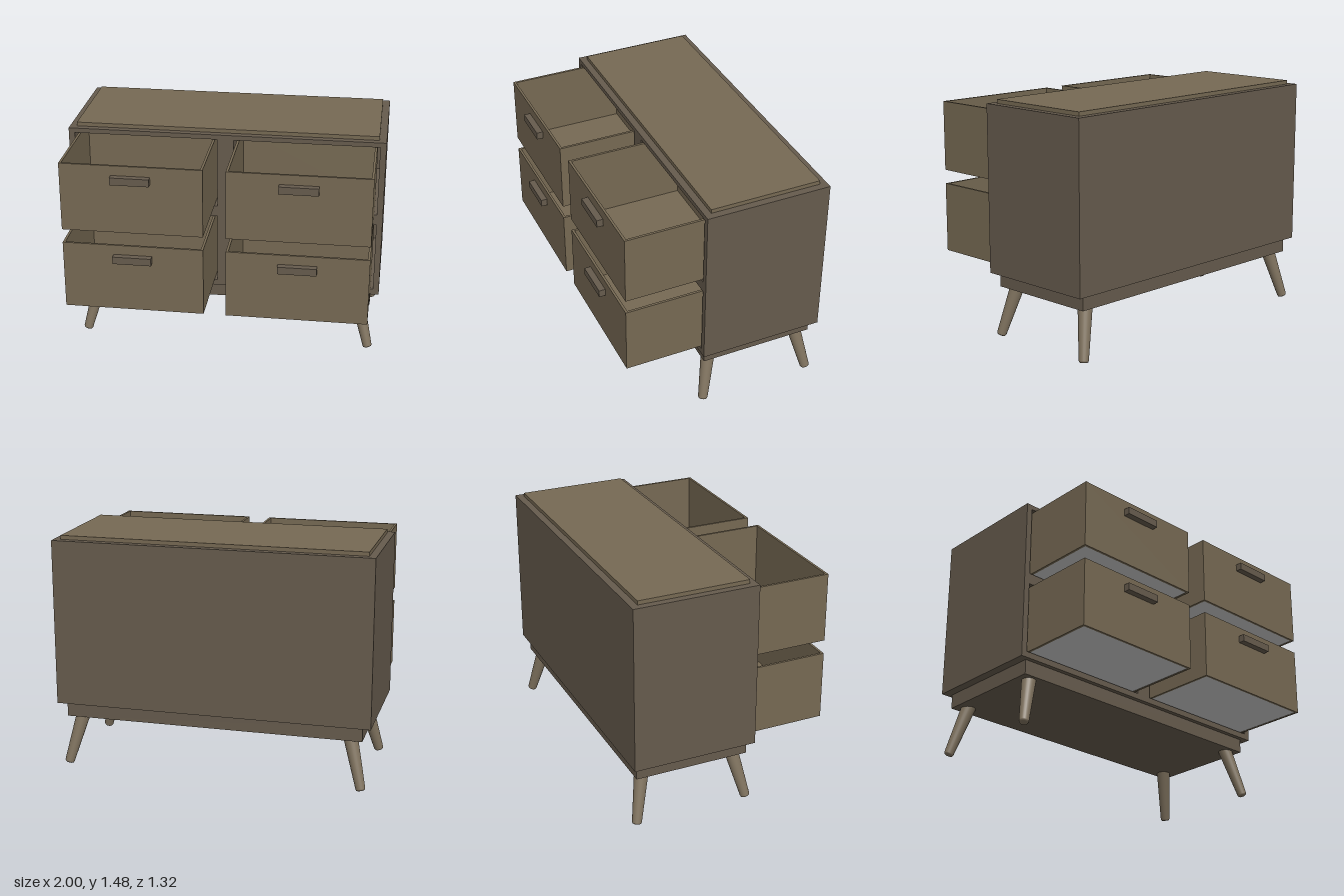
import * as THREE from 'three';

const wood = (color) => new THREE.MeshStandardMaterial({ color });
const caseWood = wood(0x665b4d);
const panelWood = wood(0x766953);
const legWood = wood(0x80735f);
const grey = wood(0xcccccc);

function add(parent, name, geometry, material) {
  const mesh = new THREE.Mesh(geometry, material);
  mesh.name = name;
  parent.add(mesh);
  return mesh;
}

// Box given by its lower and upper corners
function box(parent, name, [x0, y0, z0], [x1, y1, z1], material) {
  const mesh = add(parent, name, new THREE.BoxGeometry(x1 - x0, y1 - y0, z1 - z0), material);
  mesh.position.set((x0 + x1) / 2, (y0 + y1) / 2, (z0 + z1) / 2);
  return mesh;
}

function rect(Type, x0, y0, x1, y1) {
  return new Type([[x0, y0], [x1, y0], [x1, y1], [x0, y1]].map(([x, y]) => new THREE.Vector2(x, y)));
}

// Open-topped drawer with its handle, origin at bottom centre of the front face
function createDrawer() {
  const drawer = new THREE.Group();
  drawer.name = 'drawer';
  const w = 0.4375, h = 0.437, d = 0.74, t = 0.015;

  // Four walls as one extruded ring
  const ring = rect(THREE.Shape, -w, 0, w, d);
  ring.holes.push(rect(THREE.Path, -w + t, t, w - t, d - t));
  const walls = new THREE.ExtrudeGeometry(ring, { depth: h, bevelEnabled: false });
  walls.rotateX(-Math.PI / 2);
  add(drawer, 'drawerWalls', walls, panelWood);

  // Floor with a grey underside
  box(drawer, 'drawerFloor', [-w + t, 0.008, -d + t], [w - t, 0.016, -t], panelWood);
  box(drawer, 'drawerUnderside', [-w + t, 0.002, -d + t], [w - t, 0.008, -t], grey);

  box(drawer, 'handle', [-0.12, 0.328, 0], [0.12, 0.375, 0.04], caseWood);
  return drawer;
}

// Tapered round leg running from foot to top
function createLeg(foot, top) {
  const axis = top.clone().sub(foot);
  const profile = [[0, 0], [0.02, 0], [0.027, 0.004], [0.03, 0.012], [0.045, axis.length()]]
    .map(([r, y]) => new THREE.Vector2(r, y));
  const mesh = new THREE.Mesh(new THREE.LatheGeometry(profile, 24), legWood);
  mesh.name = 'leg';
  mesh.position.copy(foot);
  mesh.quaternion.setFromUnitVectors(new THREE.Vector3(0, 1, 0), axis.normalize());
  return mesh;
}

export function createModel() {
  const model = new THREE.Group();
  model.name = 'drawerCabinet';

  // Case with four open compartments, closed by a back panel
  const rows = [0.45, 0.975];
  const face = rect(THREE.Shape, -1, 0.412, 1, 1.46);
  for (const y of rows) {
    for (const x of [-0.507, 0.507]) {
      face.holes.push(rect(THREE.Path, x - 0.455, y, x + 0.455, y + 0.455));
    }
  }
  const shell = add(model, 'case', new THREE.ExtrudeGeometry(face, { depth: 0.775, bevelEnabled: false }), caseWood);
  shell.position.z = -0.64;
  box(model, 'backPanel', [-1, 0.412, -0.658], [1, 1.46, -0.64], caseWood);

  // Raised top and recessed base
  box(model, 'topPanel', [-0.955, 1.46, -0.612], [0.955, 1.485, 0.092], panelWood);
  box(model, 'base', [-0.945, 0.32, -0.625], [0.945, 0.412, 0.105], caseWood);

  // Drawers, all pulled out
  for (const y of rows) {
    for (const x of [-0.507, 0.507]) {
      const drawer = createDrawer();
      drawer.position.set(x, y + 0.006, 0.622);
      model.add(drawer);
    }
  }

  // Splayed legs
  for (const side of [-1, 1]) {
    for (const [footZ, topZ] of [[0.108, 0.036], [-0.628, -0.556]]) {
      model.add(createLeg(
        new THREE.Vector3(side * 0.945, 0.007, footZ),
        new THREE.Vector3(side * 0.86, 0.335, topZ)
      ));
    }
  }
  return model;
}
